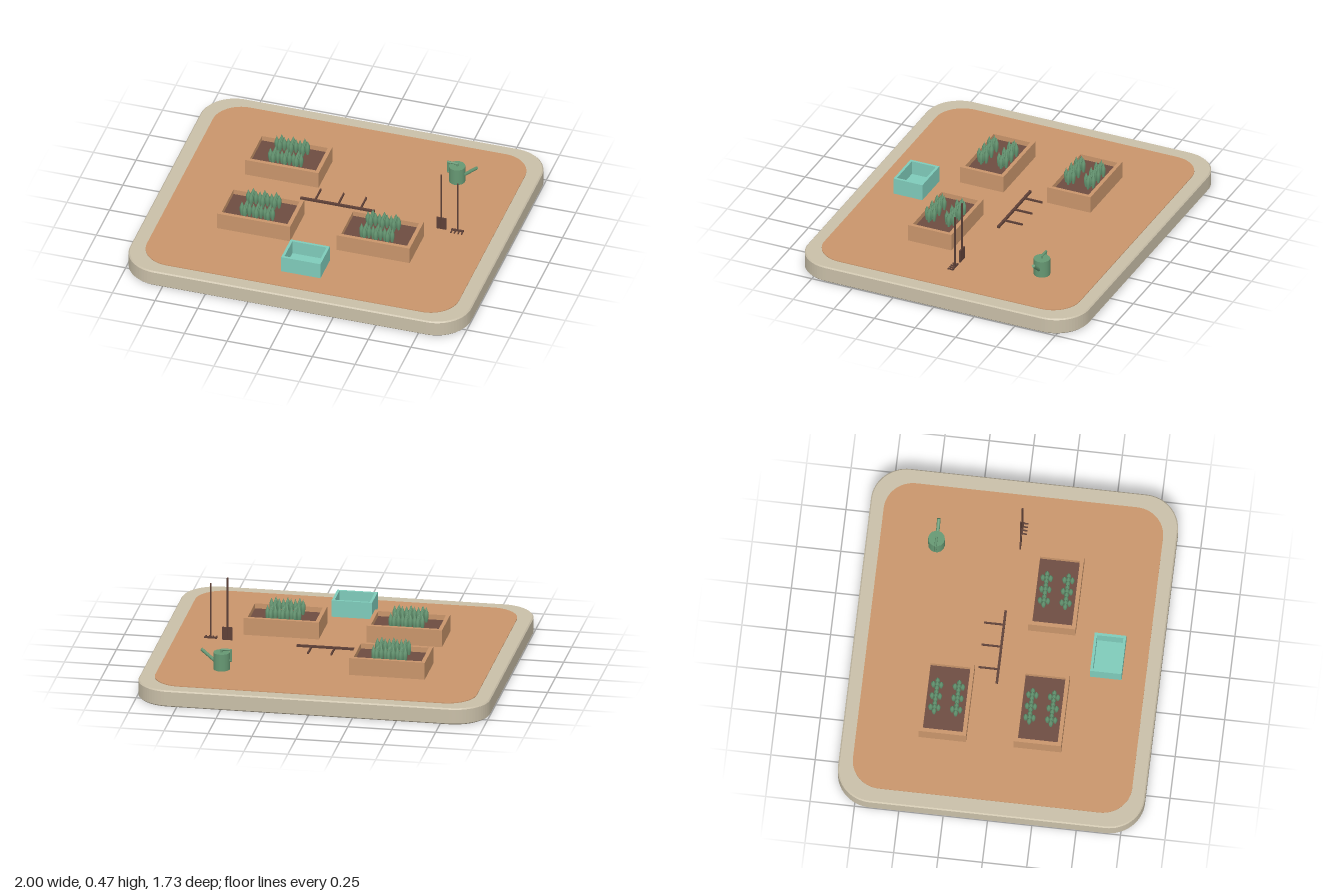
import * as THREE from 'three';

const mat = (name, color) => {
  const m = new THREE.MeshStandardMaterial({ color });
  m.name = name;
  return m;
};

export function createModel() {
  const stone = mat('stone', 0xc9bfa8);
  const clay = mat('clay', 0xc9956b);
  const soil = mat('soil', 0x6d4c41);
  const wood = mat('dark wood', 0x5d4037);
  const green = mat('green', 0x669873);
  const teal = mat('teal', 0x7fcbba);
  const model = new THREE.Group();
  model.name = 'gardenPlot';

  const add = (parent, name, geometry, material, x = 0, y = 0, z = 0) => {
    const mesh = new THREE.Mesh(geometry, material);
    mesh.name = name;
    mesh.position.set(x, y, z);
    parent.add(mesh);
    return mesh;
  };
  const box = (parent, name, material, w, h, d, x, y, z) =>
    add(parent, name, new THREE.BoxGeometry(w, h, d), material, x, y, z);
  const group = (name, x, y, z) => {
    const g = new THREE.Group();
    g.name = name;
    g.position.set(x, y, z);
    model.add(g);
    return g;
  };

  // Rounded slab lying flat, from y0 to y1
  const slab = (name, material, hw, hd, r, y0, y1, bevel) => {
    const w = hw - bevel, d = hd - bevel, c = r - bevel;
    const s = new THREE.Shape();
    s.moveTo(-w + c, -d);
    s.absarc(w - c, -d + c, c, -Math.PI / 2, 0);
    s.absarc(w - c, d - c, c, 0, Math.PI / 2);
    s.absarc(-w + c, d - c, c, Math.PI / 2, Math.PI);
    s.absarc(-w + c, -d + c, c, Math.PI, Math.PI * 1.5);
    const g = new THREE.ExtrudeGeometry(s, {
      depth: y1 - y0 - 2 * bevel, curveSegments: 8,
      bevelEnabled: bevel > 0, bevelSize: bevel, bevelThickness: bevel, bevelSegments: 1,
    });
    g.rotateX(-Math.PI / 2);
    add(model, name, g, material, 0, y0 + bevel, 0);
  };
  slab('base', stone, 1, 0.865, 0.2, 0, 0.096, 0.007);
  slab('ground', clay, 0.915, 0.787, 0.165, 0.08, 0.1, 0);

  // Four walls of an open box standing on y = 0
  const walls = (parent, material, w, h, d, t) => {
    for (const s of [-1, 1]) {
      box(parent, 'longWall', material, w, h, t, 0, h / 2, s * (d - t) / 2);
      box(parent, 'endWall', material, t, h, d - 2 * t, s * (w - t) / 2, h / 2, 0);
    }
  };

  // Raised beds, each with two rows of three leafy plants
  const leaf = new THREE.LatheGeometry(
    [[0.006, 0], [0.013, 0.035], [0.013, 0.063], [0, 0.098]].map(p => new THREE.Vector2(...p)), 6);
  const leafSpots = [[0, 0], [0.022, 0], [-0.022, 0], [0, 0.022], [0, -0.022]];
  for (const [x, z] of [[-0.37, -0.303], [-0.37, 0.233], [0.331, 0.233]]) {
    const bed = group('raisedBed', x, 0.1, z);
    walls(bed, clay, 0.43, 0.1, 0.268, 0.022);
    box(bed, 'soil', soil, 0.386, 0.07, 0.224, 0, 0.035, 0);
    for (const px of [-0.068, 0, 0.068]) for (const pz of [-0.061, 0.061]) {
      const plant = new THREE.Group();
      plant.name = 'plant';
      plant.position.set(px, 0.063, pz);
      bed.add(plant);
      for (const [lx, lz] of leafSpots) add(plant, 'leaf', leaf, green, lx, 0, lz);
    }
  }

  // Open crate
  const crate = group('crate', -0.003, 0.1, 0.565);
  walls(crate, teal, 0.23, 0.097, 0.178, 0.015);
  box(crate, 'crateFloor', teal, 0.2, 0.015, 0.148, 0, 0.008, 0);

  // Rack lying on the ground
  const rack = group('toolRack', 0, 0.107, 0);
  box(rack, 'rackBar', wood, 0.436, 0.012, 0.014, -0.002, 0, -0.038);
  for (const x of [-0.135, 0, 0.132])
    box(rack, 'rackPeg', wood, 0.009, 0.01, 0.11, x, 0, -0.095);

  // Upright spade
  const spade = group('spade', 0.617, 0.1, 0);
  add(spade, 'spadeHandle', new THREE.CylinderGeometry(0.005, 0.005, 0.36, 8), wood, 0, 0.19, 0);
  box(spade, 'spadeBlade', wood, 0.058, 0.075, 0.008, 0.001, 0.038, 0);

  // Upright rake with short tines
  const rake = group('rake', 0.713, 0.1, 0);
  add(rake, 'rakeHandle', new THREE.CylinderGeometry(0.005, 0.005, 0.325, 8), wood, 0, 0.168, 0);
  box(rake, 'rakeHead', wood, 0.072, 0.01, 0.01, 0, 0.009, 0);
  for (let i = 0; i < 4; i++)
    box(rake, 'rakeTine', wood, 0.007, 0.007, 0.03, -0.031 + i * 0.0207, 0.007, 0.014);

  // Watering can: body, spout and looped handle
  const can = group('wateringCan', 0.565, 0.1, -0.468);
  add(can, 'canBody', new THREE.CylinderGeometry(0.047, 0.047, 0.1, 14), green, 0, 0.05, 0);
  const spout = add(can, 'spout', new THREE.CylinderGeometry(0.01, 0.01, 0.115, 8), green, 0.072, 0.074, 0);
  spout.rotation.z = -0.87;
  const bar = (a, b) => {
    const path = new THREE.LineCurve3(new THREE.Vector3(...a, 0), new THREE.Vector3(...b, 0));
    add(can, 'canHandle', new THREE.TubeGeometry(path, 1, 0.007, 8), green);
  };
  bar([0, 0.095], [0, 0.117]);
  bar([0.004, 0.115], [-0.058, 0.115]);
  bar([-0.053, 0.12], [-0.053, 0.05]);
  bar([-0.058, 0.052], [-0.035, 0.052]);

  return model;
}
